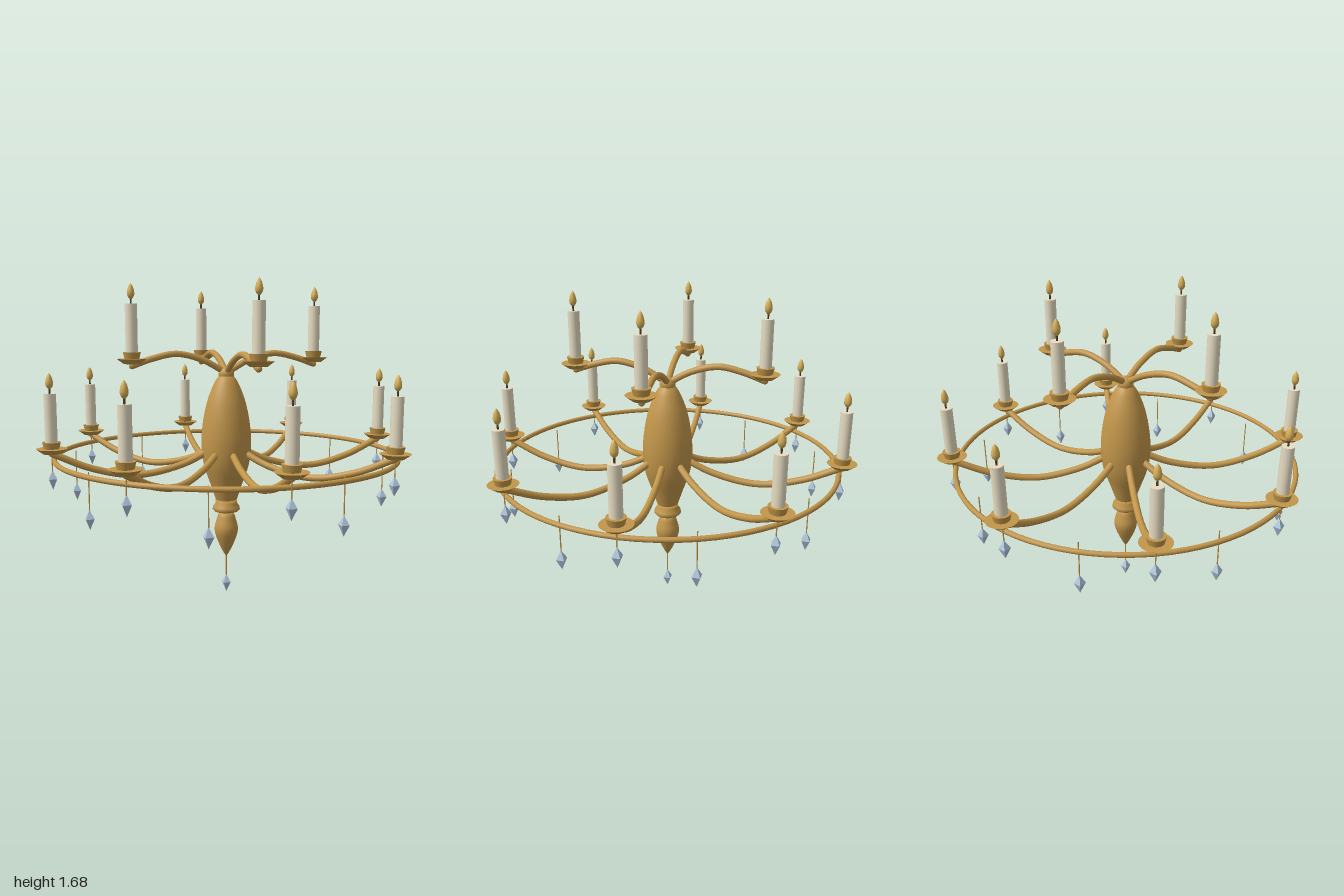
import * as THREE from 'three';

const mat = (name, color, extra = {}) =>
  Object.assign(new THREE.MeshStandardMaterial({ color, ...extra }), { name });
const brass = mat('brass', 0xc2964a);
const wax = mat('candle wax', 0xe9dfc4);
const flameGold = mat('flame gold', 0xd8b058);
const crystalBlue = mat('crystal', 0xb0c6dc, { flatShading: true });
const wickDark = mat('dark wick', 0x4a3c28);

function add(parent, name, geometry, material, x = 0, y = 0, z = 0) {
  const mesh = new THREE.Mesh(geometry, material);
  mesh.name = name;
  mesh.position.set(x, y, z);
  parent.add(mesh);
  return mesh;
}

const lathe = (points, sides = 28) =>
  new THREE.LatheGeometry(points.map(([r, y]) => new THREE.Vector2(r, y)), sides);

// Smooth lathe through a few profile points
const smoothLathe = (points, steps = 24, sides = 28) => {
  const curve = new THREE.SplineCurve(points.map(([r, y]) => new THREE.Vector2(r, y)));
  return new THREE.LatheGeometry(curve.getPoints(steps).map(p => p.setX(Math.max(p.x, 0))), sides);
};

// Tube swept outward along +x, closed at both ends
function addArm(parent, name, points, radius) {
  const curve = new THREE.CatmullRomCurve3(points.map(([x, y]) => new THREE.Vector3(x, y, 0)));
  add(parent, name, new THREE.TubeGeometry(curve, 28, radius, 10), brass);
  for (const [x, y] of [points[0], points[points.length - 1]])
    add(parent, name + 'End', new THREE.SphereGeometry(radius, 10, 8), brass, x, y);
}

// Saucer, socket, candle and flame; y is the saucer rim
function addCandle(parent, x, y) {
  const g = new THREE.Group();
  g.name = 'candle';
  g.position.set(x, y, 0);
  parent.add(g);
  add(g, 'saucer', new THREE.CylinderGeometry(0.077, 0.042, 0.026, 24), brass, 0, -0.013);
  add(g, 'socket', new THREE.CylinderGeometry(0.046, 0.038, 0.034, 20), brass, 0, 0.017);
  add(g, 'candleStick', new THREE.CylinderGeometry(0.031, 0.031, 0.25, 18), wax, 0, 0.152);
  add(g, 'wick', new THREE.CylinderGeometry(0.005, 0.005, 0.03, 6), wickDark, 0, 0.288);
  add(g, 'flame', smoothLathe([[0, 0], [0.015, 0.016], [0.019, 0.036], [0.012, 0.065], [0, 0.084]], 12, 12),
    flameGold, 0, 0.296);
}

// Four-sided drop on a thin wire; bottom is the lowest tip
function addPendant(parent, x, bottom, wireTop, angle = 0) {
  const g = new THREE.Group();
  g.name = 'pendant';
  g.position.set(x, bottom, 0);
  g.rotation.y = angle;
  parent.add(g);
  add(g, 'crystal', lathe([[0, 0], [0.028, 0.056], [0, 0.1]], 4), crystalBlue);
  const length = wireTop - bottom - 0.095;
  add(g, 'wire', new THREE.CylinderGeometry(0.003, 0.003, length, 6), brass, 0, 0.095 + length / 2);
}

export function createModel() {
  const model = new THREE.Group();
  model.name = 'chandelier';

  // Turned central column
  add(model, 'body', smoothLathe([[0.055, 0.52], [0.085, 0.61], [0.122, 0.72], [0.135, 0.83],
    [0.127, 0.95], [0.102, 1.07], [0.065, 1.165], [0.038, 1.205]], 32), brass);
  add(model, 'topKnob', new THREE.SphereGeometry(0.042, 20, 14), brass, 0, 1.212);
  add(model, 'collar', lathe([[0, 0.464], [0.065, 0.464], [0.075, 0.474], [0.072, 0.49],
    [0.058, 0.51], [0.058, 0.53], [0, 0.53]]), brass);
  add(model, 'neck', new THREE.CylinderGeometry(0.026, 0.026, 0.03, 16), brass, 0, 0.457);
  add(model, 'finial', smoothLathe([[0, 0.203], [0.025, 0.245], [0.055, 0.315], [0.065, 0.365],
    [0.055, 0.41], [0.038, 0.452], [0, 0.456]], 24, 20), brass);
  addPendant(model, 0, 0, 0.215);

  // Outer ring
  add(model, 'ring', new THREE.TorusGeometry(0.908, 0.013, 10, 80), brass, 0, 0.785).rotation.x = Math.PI / 2;

  // Eight lower arms, with long pendants between them
  for (let i = 0; i < 8; i++) {
    const angle = i * Math.PI / 4;
    const arm = new THREE.Group();
    arm.name = 'lowerArm';
    arm.rotation.y = angle;
    model.add(arm);
    addArm(arm, 'armTube', [[0.09, 0.805], [0.25, 0.735], [0.49, 0.694], [0.72, 0.74], [0.92, 0.828]], 0.018);
    addCandle(arm, 0.92, 0.853);
    addPendant(arm, 0.92, 0.642, 0.825, -angle);

    const gap = new THREE.Group();
    gap.name = 'longPendant';
    gap.rotation.y = angle + Math.PI / 8;
    model.add(gap);
    addPendant(gap, 0.838, 0.505, 0.785, -gap.rotation.y);
  }

  // Four upper arms on the diagonals
  for (let i = 0; i < 4; i++) {
    const arm = new THREE.Group();
    arm.name = 'upperArm';
    arm.rotation.y = Math.PI / 4 + i * Math.PI / 2;
    model.add(arm);
    addArm(arm, 'armTube', [[0.01, 1.225], [0.13, 1.289], [0.27, 1.322], [0.4, 1.298], [0.505, 1.262]], 0.017);
    addCandle(arm, 0.505, 1.298);
  }
  return model;
}
